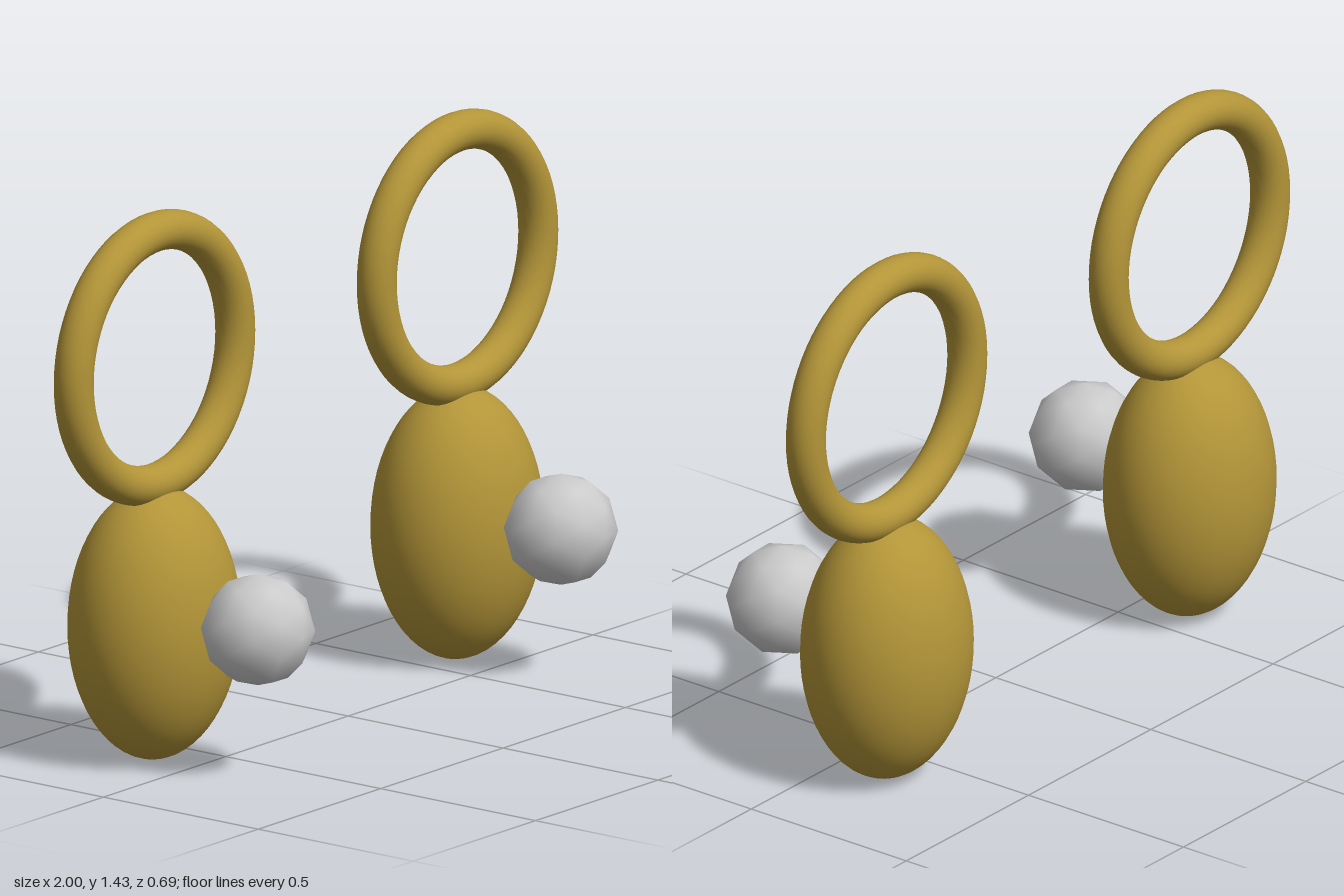
import * as THREE from 'three';

export function createModel() {
  const model = new THREE.Group();
  const gold = new THREE.MeshStandardMaterial({ color: 0xb39538 });
  const pearlMat = new THREE.MeshStandardMaterial({ color: 0xcccccc });

  const ringGeo = new THREE.TorusGeometry(0.33, 0.051, 24, 72);
  const dropGeo = new THREE.SphereGeometry(1, 48, 32).scale(0.239, 0.356, 0.208);
  // Coarse faceted ball with one of its corners facing forward
  const pearlGeo = new THREE.IcosahedronGeometry(0.146, 1)
    .rotateX(Math.atan(2 / (1 + Math.sqrt(5))))
    .rotateZ(Math.PI / 2);

  const add = (parent, name, geometry, material, y, z) => {
    const mesh = new THREE.Mesh(geometry, material);
    mesh.name = name;
    mesh.position.set(0, y, z);
    parent.add(mesh);
  };

  // A matching pair: hoop on top, oval drop below, ball on its front
  for (const side of [-1, 1]) {
    const earring = new THREE.Group();
    earring.name = side > 0 ? 'leftEarring' : 'rightEarring';
    earring.position.x = side * 0.619;
    add(earring, 'hoop', ringGeo, gold, 1.052, -0.136);
    add(earring, 'ovalDrop', dropGeo, gold, 0.358, -0.137);
    add(earring, 'pearl', pearlGeo, pearlMat, 0.394, 0.198);
    model.add(earring);
  }
  return model;
}
